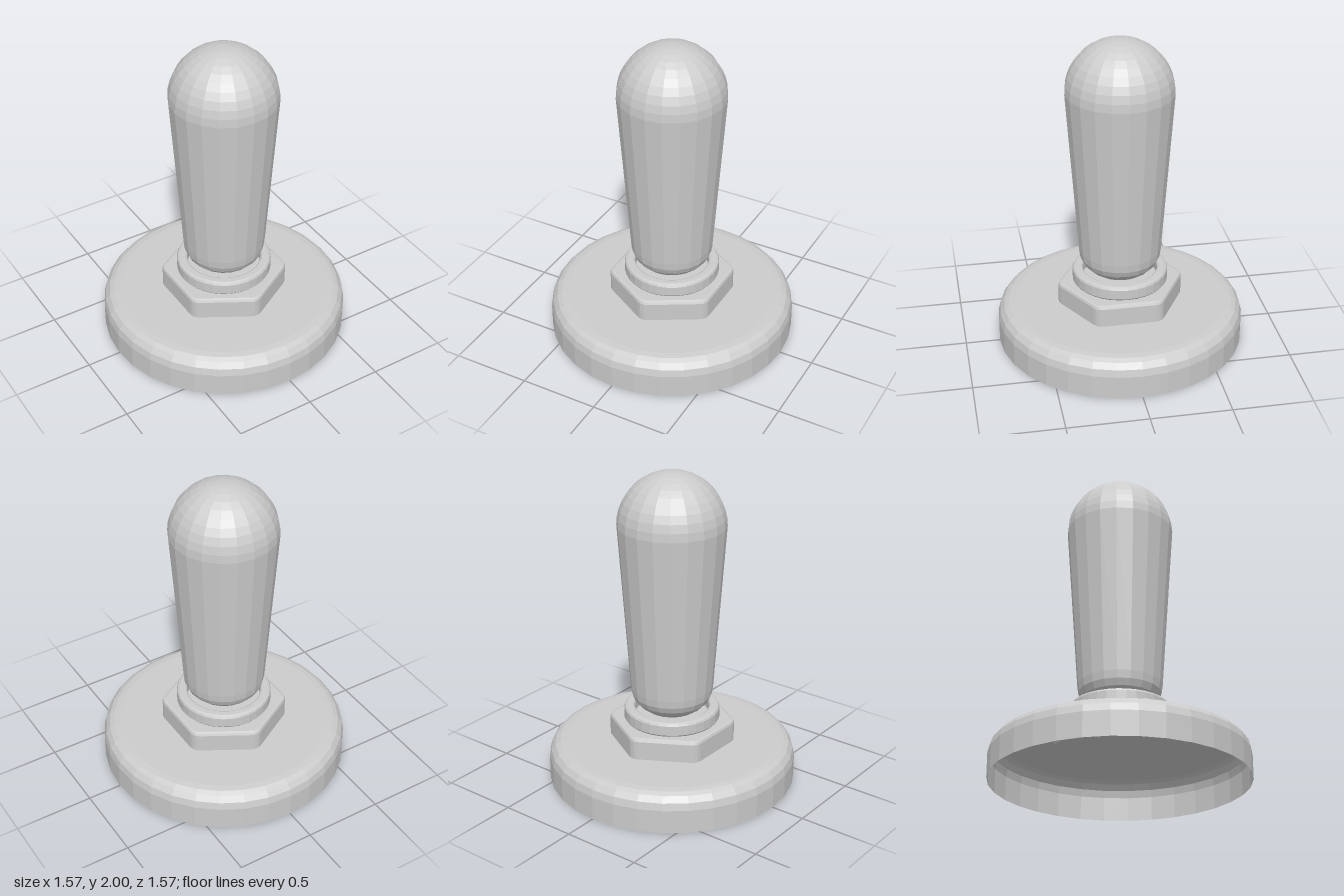
import * as THREE from 'three';

const material = new THREE.MeshStandardMaterial({
  color: 0xcccccc, flatShading: true, side: THREE.DoubleSide,
});

function addPart(group, name, geometry) {
  const mesh = new THREE.Mesh(geometry, material);
  mesh.name = name;
  group.add(mesh);
  return mesh;
}

// Revolve a [radius, height] profile listed from bottom to top
function turned(points, sides) {
  return new THREE.LatheGeometry(points.map(([r, y]) => new THREE.Vector2(r, y)), sides);
}

// Hexagon with rounded corners, two of them on the z axis
function hexShape(radius, rounding) {
  const corner = (i) => {
    const a = Math.PI / 2 + (i * Math.PI) / 3;
    return new THREE.Vector2(Math.cos(a), Math.sin(a)).multiplyScalar(radius);
  };
  const shape = new THREE.Shape();
  for (let i = 0; i < 6; i++) {
    const c = corner(i);
    const before = c.clone().lerp(corner(i - 1), rounding);
    const after = c.clone().lerp(corner(i + 1), rounding);
    if (i === 0) shape.moveTo(before.x, before.y);
    else shape.lineTo(before.x, before.y);
    shape.quadraticCurveTo(c.x, c.y, after.x, after.y);
  }
  shape.closePath();
  return shape;
}

export function createModel() {
  const model = new THREE.Group();
  model.name = 'toggleSwitch';

  // Hollow round base, open underneath
  addPart(model, 'base', turned([
    [0.783, 0], [0.783, 0.15], [0.772, 0.195], [0.745, 0.23],
    [0.715, 0.245], [0.675, 0.25], [0, 0.25],
  ], 32));

  // Hexagonal nut with a bevelled top edge
  const bevel = 0.02;
  const nut = addPart(model, 'nut', new THREE.ExtrudeGeometry(hexShape(0.384, 0.08), {
    depth: 0.14 - bevel, curveSegments: 3,
    bevelEnabled: true, bevelThickness: bevel, bevelSize: bevel, bevelSegments: 2,
  }));
  nut.rotation.x = -Math.PI / 2;
  nut.position.y = 0.25;

  // Threaded collar: a ring with a recess for the lever
  addPart(model, 'collar', turned([
    [0.29, 0.385], [0.302, 0.4], [0.302, 0.462], [0.296, 0.474], [0.282, 0.48],
    [0.248, 0.48], [0.238, 0.474], [0.234, 0.462], [0.234, 0.41], [0, 0.41],
  ], 32));

  // Tapered lever with a rounded foot and a domed tip
  const lever = [
    [0, 0.425], [0.1, 0.435], [0.16, 0.455], [0.2, 0.483],
    [0.235, 0.52], [0.253, 0.56], [0.26, 0.61],
  ];
  const radius = 0.335, rings = 10;
  for (let i = 0; i <= rings; i++) {
    const a = (i / rings) * (Math.PI / 2);
    lever.push([radius * Math.cos(a), 2 - radius + radius * Math.sin(a)]);
  }
  addPart(model, 'lever', turned(lever, 20));

  return model;
}
